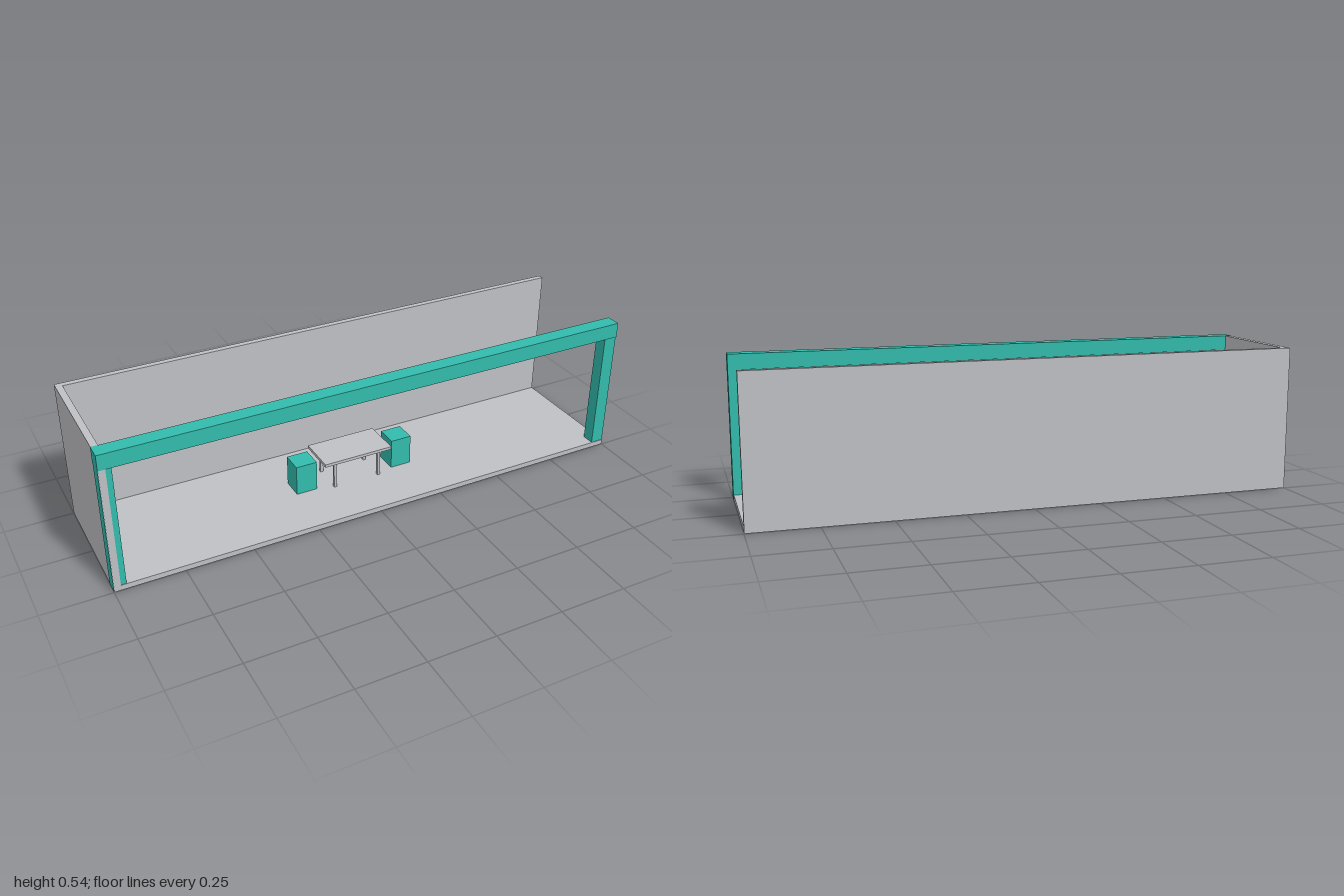
import * as THREE from 'three';

export function createModel() {
  const model = new THREE.Group();
  const grey = new THREE.MeshStandardMaterial({ color: 0xbfc0c4 });
  grey.name = 'light grey';
  const teal = new THREE.MeshStandardMaterial({ color: 0x32bbac });
  teal.name = 'teal';

  // Box given by its extents on each axis
  function block(parent, name, material, [x0, x1], [y0, y1], [z0, z1]) {
    const mesh = new THREE.Mesh(new THREE.BoxGeometry(x1 - x0, y1 - y0, z1 - z0), material);
    mesh.position.set((x0 + x1) / 2, (y0 + y1) / 2, (z0 + z1) / 2);
    mesh.name = name;
    parent.add(mesh);
  }

  // Room shell: floor, back wall and one side wall, a hair inside the frame
  const floorTop = 0.021;
  block(model, 'floor', grey, [-0.999, 0.999], [0.001, floorTop], [-0.25, 0.25]);
  block(model, 'backWall', grey, [-0.999, 0.999], [floorTop, 0.534], [-0.25, -0.228]);
  block(model, 'sideWall', grey, [-0.999, -0.975], [floorTop, 0.534], [-0.228, 0.25]);

  // Front frame: two posts carrying a beam
  const frame = new THREE.Group();
  frame.name = 'frontFrame';
  model.add(frame);
  block(frame, 'rightPost', teal, [-1, -0.955], [0, 0.478], [0.199, 0.248]);
  block(frame, 'leftPost', teal, [0.95, 1], [0, 0.478], [0.199, 0.248]);
  block(frame, 'beam', teal, [-1, 1], [0.478, 0.535], [0.195, 0.252]);

  // Table: thin top on four slim legs
  const table = new THREE.Group();
  table.name = 'table';
  model.add(table);
  block(table, 'tableTop', grey, [-0.139, 0.135], [0.127, 0.139], [-0.076, 0.074]);
  for (const x of [-0.093, 0.089]) {
    for (const z of [-0.059, 0.057]) {
      block(table, 'tableLeg', grey, [x - 0.0055, x + 0.0055], [floorTop, 0.127], [z - 0.0055, z + 0.0055]);
    }
  }

  // Block stools at both ends of the table
  for (const x of [-0.2, 0.196]) {
    block(model, 'stool', teal, [x - 0.041, x + 0.041], [floorTop, 0.138], [-0.042, 0.041]);
  }
  return model;
}
